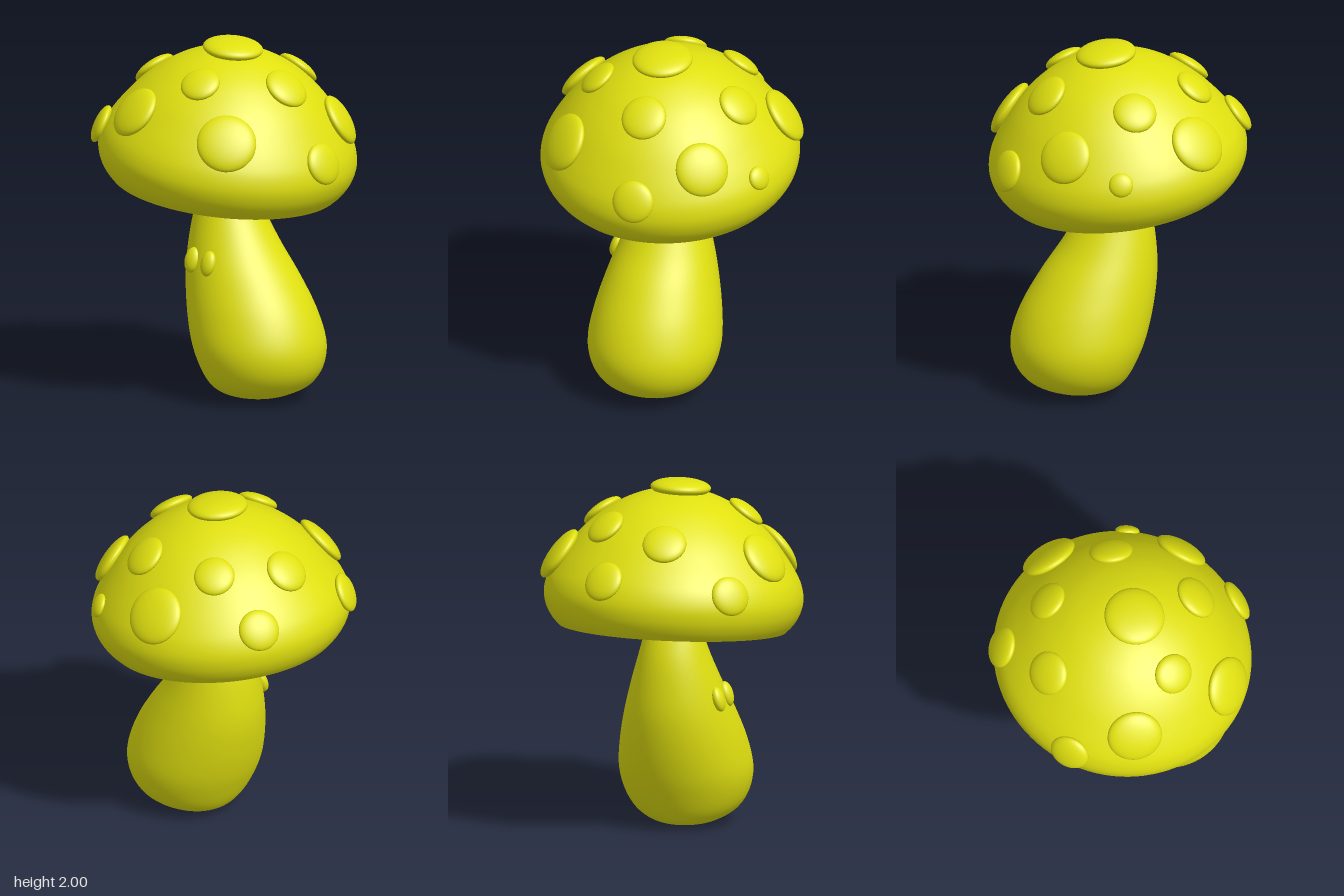
import * as THREE from 'three';
import { mergeVertices } from 'three/addons/utils/BufferGeometryUtils.js';

const yellow = new THREE.MeshStandardMaterial({ color: 0xe0e010 });
yellow.name = 'mushroom yellow';

function part(name, geometry) {
  const mesh = new THREE.Mesh(geometry, yellow);
  mesh.name = name;
  return mesh;
}

// Leaning stem: ellipse cross-sections [y, left x, right x, half depth]
const STEM = [
  [0.004, 0.21, 0.21, 0], [0.014, 0.1, 0.32, 0.105], [0.042, 0.008, 0.42, 0.2],
  [0.1, -0.045, 0.525, 0.29], [0.2, -0.098, 0.588, 0.348], [0.33, -0.152, 0.598, 0.37],
  [0.5, -0.199, 0.54, 0.347], [0.68, -0.227, 0.43, 0.302], [0.85, -0.224, 0.302, 0.25],
  [1.02, -0.2, 0.197, 0.196], [1.18, -0.147, 0.117, 0.15], [1.3, -0.1, 0.07, 0.11],
  [1.42, -0.06, 0.045, 0.07], [1.44, -0.005, -0.005, 0],
];

function stemGeometry() {
  const sides = new THREE.CatmullRomCurve3(
    STEM.map(([y, l, r]) => new THREE.Vector3(l, y, r)), false, 'catmullrom');
  const depths = new THREE.CatmullRomCurve3(
    STEM.map(([y, , , d]) => new THREE.Vector3(d, y, 0)), false, 'catmullrom');
  const g = new THREE.CylinderGeometry(1, 1, 1, 64, 78, true);
  const p = g.attributes.position;
  for (let i = 0; i < p.count; i++) {
    const t = THREE.MathUtils.clamp(p.getY(i) + 0.5, 0, 1);
    const s = sides.getPoint(t);
    const d = depths.getPoint(t).x;
    p.setXYZ(i, (s.x + s.z) / 2 + p.getX(i) * (s.z - s.x) / 2, Math.max(0, s.y), p.getZ(i) * d);
  }
  g.deleteAttribute('uv');
  g.deleteAttribute('normal');
  const merged = mergeVertices(g);
  merged.computeVertexNormals();
  return merged;
}

const curve = (pts) => new THREE.SplineCurve(pts.map(([r, y]) => new THREE.Vector2(r, y)));

// Cap profiles: outside from rim to crown, underside from ceiling to rim
const OUTSIDE = curve([
  [0.63, 0], [0.67, 0.045], [0.702, 0.105], [0.716, 0.18], [0.701, 0.26], [0.664, 0.335],
  [0.607, 0.42], [0.53, 0.518], [0.44, 0.605], [0.33, 0.684], [0.2, 0.743], [0.09, 0.767], [0, 0.771],
]).getPoints(60);
const UNDERSIDE = curve([
  [0, 0.178], [0.2, 0.168], [0.4, 0.133], [0.54, 0.078], [0.605, 0.026], [0.63, 0],
]).getPoints(30);
OUTSIDE[60].x = 0;

// Spots: world position and radius
const SPOTS = [
  [0.045, 1.96, 0.025, 0.167], [-0.21, 1.59, -0.6, 0.16], [0.27, 1.44, -0.63, 0.067],
  [0.095, 1.775, -0.44, 0.12], [0.487, 1.54, -0.375, 0.148], [-0.345, 1.785, -0.295, 0.112],
  [-0.645, 1.56, -0.215, 0.114], [-0.5, 1.76, 0.09, 0.121], [0.43, 1.775, -0.01, 0.126],
  [0.675, 1.39, -0.04, 0.117], [0.135, 1.81, 0.37, 0.11], [0.42, 1.535, 0.455, 0.164],
  [-0.175, 1.645, 0.57, 0.151], [-0.52, 1.5, 0.47, 0.11],
];

export function createModel() {
  const model = new THREE.Group();
  model.name = 'mushroom';
  model.add(part('stem', stemGeometry()));

  // Eyes
  for (const [x, z] of [[-0.033, 0.262], [0.099, 0.272]]) {
    const eye = part('eye', new THREE.SphereGeometry(1, 32, 20));
    eye.scale.set(0.048, 0.071, 0.033);
    eye.position.set(x, 0.781, z);
    eye.rotation.x = -0.3;
    model.add(eye);
  }

  // Tilted hollow cap
  const cap = new THREE.Group();
  cap.name = 'cap';
  cap.position.set(-0.041, 1.175, 0);
  cap.rotation.z = -0.136;
  cap.updateMatrixWorld();
  cap.add(part('capTop', new THREE.LatheGeometry(OUTSIDE, 96)));
  cap.add(part('capUnderside', new THREE.LatheGeometry(UNDERSIDE, 96)));
  model.add(cap);

  // Domed spots, each snapped to the nearest point of the cap and aligned to it
  const up = new THREE.Vector3(0, 1, 0);
  for (const [x, y, z, radius] of SPOTS) {
    const local = cap.worldToLocal(new THREE.Vector3(x, y, z));
    const angle = Math.atan2(local.z, local.x);
    const target = new THREE.Vector2(Math.hypot(local.x, local.z), local.y);
    let k = 1;
    for (let i = 1; i < OUTSIDE.length - 1; i++) {
      if (OUTSIDE[i].distanceTo(target) < OUTSIDE[k].distanceTo(target)) k = i;
    }
    const slope = OUTSIDE[k + 1].clone().sub(OUTSIDE[k - 1]).normalize();
    const normal = new THREE.Vector3(slope.y * Math.cos(angle), -slope.x, slope.y * Math.sin(angle));
    const spot = part('spot', new THREE.SphereGeometry(1, 40, 24));
    spot.scale.set(radius, 0.015 + radius * 0.22, radius);
    spot.position.set(OUTSIDE[k].x * Math.cos(angle), OUTSIDE[k].y, OUTSIDE[k].x * Math.sin(angle));
    spot.position.addScaledVector(normal, radius * 0.06);
    spot.quaternion.setFromUnitVectors(up, normal.normalize());
    cap.add(spot);
  }
  return model;
}
